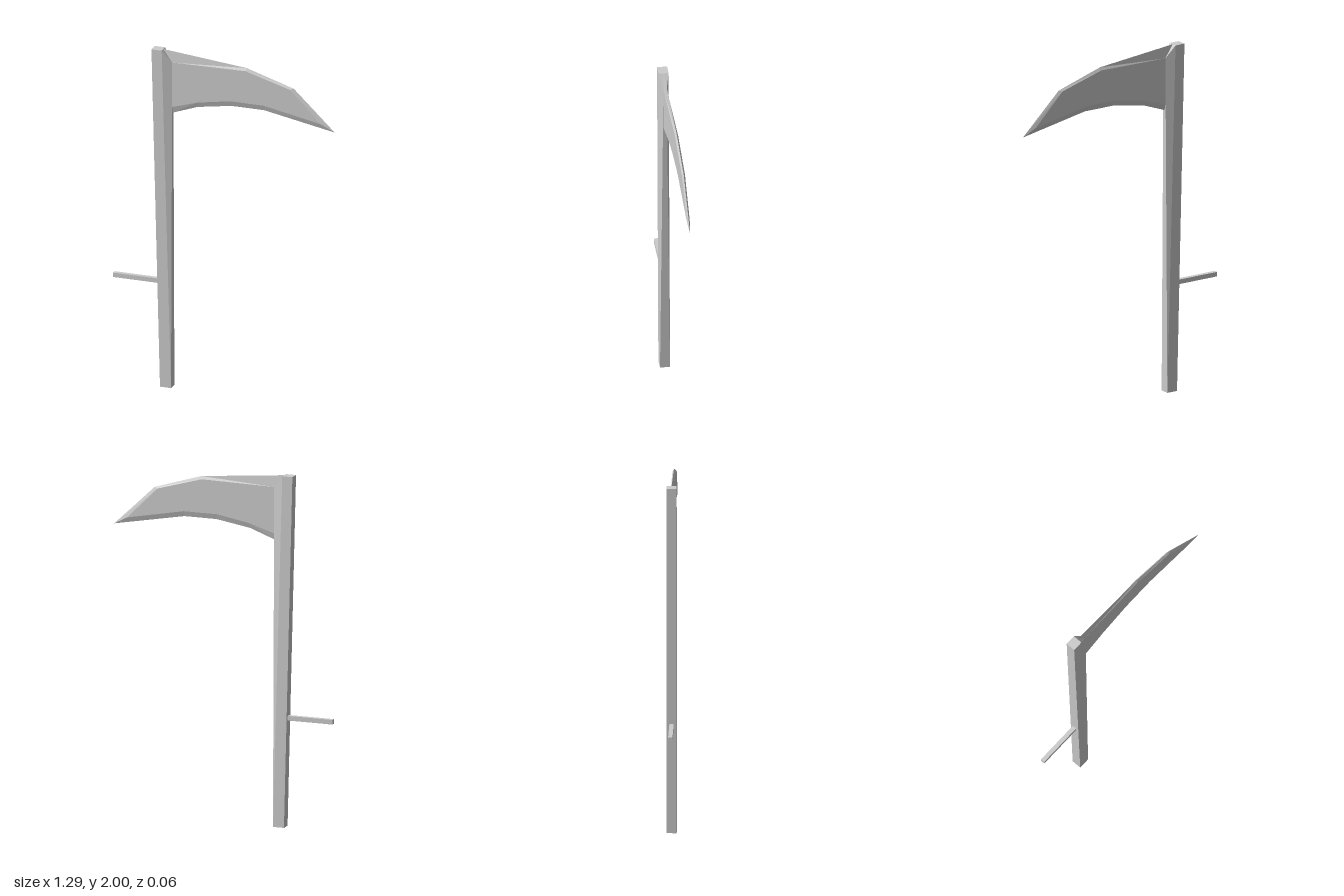
import * as THREE from 'three';
import { ConvexGeometry } from 'three/addons/geometries/ConvexGeometry.js';

const material = new THREE.MeshStandardMaterial({ color: 0xcccccc, flatShading: true });

function part(name, geometry) {
  const mesh = new THREE.Mesh(geometry, material);
  mesh.name = name;
  return mesh;
}

// Flat plate whose rim runs from the face outline to a sharp outer edge at z = 0.
// Both outlines are clockwise, with matching points.
function bevelledPlate(edge, face, halfThickness) {
  const n = edge.length;
  const points = [
    ...edge.map(([x, y]) => [x, y, 0]),
    ...face.map(([x, y]) => [x, y, halfThickness]),
    ...face.map(([x, y]) => [x, y, -halfThickness]),
  ];
  const index = [];
  for (let i = 0; i < n; i++) {
    const j = (i + 1) % n;
    const [fi, fj, bi, bj] = [n + i, n + j, 2 * n + i, 2 * n + j];
    index.push(i, fi, j, j, fi, fj); // front bevel
    index.push(i, j, bi, j, bj, bi); // back bevel
  }
  const contour = face.map(([x, y]) => new THREE.Vector2(x, y));
  for (const tri of THREE.ShapeUtils.triangulateShape(contour, [])) {
    let [a, b, c] = tri;
    const ab = contour[b].clone().sub(contour[a]);
    const ac = contour[c].clone().sub(contour[a]);
    if (ab.cross(ac) < 0) [b, c] = [c, b];
    index.push(n + a, n + b, n + c, 2 * n + a, 2 * n + c, 2 * n + b);
  }
  const indexed = new THREE.BufferGeometry();
  indexed.setAttribute('position', new THREE.Float32BufferAttribute(points.flat(), 3));
  indexed.setIndex(index);
  const geometry = indexed.toNonIndexed();
  geometry.computeVertexNormals();
  return geometry;
}

export function createModel() {
  const group = new THREE.Group();
  group.name = 'scythe';

  // Shaft: leaning square pole whose inner side narrows to the blade thickness
  const shaftPoints = [];
  for (const s of [-1, 1]) {
    for (const [x, y, z] of [
      [-0.37, 0, 0.028], [-0.305, 0, 0.028],
      [-0.42, 2, 0.028], [-0.36, 2, 0.028],
      [-0.305, 1.93, 0.009],
    ]) shaftPoints.push(new THREE.Vector3(x, y, s * z));
  }
  group.add(part('shaft', new ConvexGeometry(shaftPoints)));

  // Blade: curved plate ground to an edge all round
  const edge = [
    [-0.36, 2], [0.13, 1.952], [0.405, 1.866], [0.645, 1.637],
    [0.23, 1.715], [0.04, 1.715], [-0.16, 1.682], [-0.307, 1.628],
  ];
  const face = [
    [-0.307, 1.93], [0.125, 1.936], [0.385, 1.86], [0.565, 1.68],
    [0.23, 1.745], [0.035, 1.745], [-0.155, 1.712], [-0.307, 1.665],
  ];
  group.add(part('blade', bevelledPlate(edge, face, 0.009)));

  // Side handle
  const handle = part('handle', new THREE.BoxGeometry(0.29, 0.026, 0.024));
  handle.position.set(-0.505, 0.622, 0);
  group.add(handle);

  return group;
}
